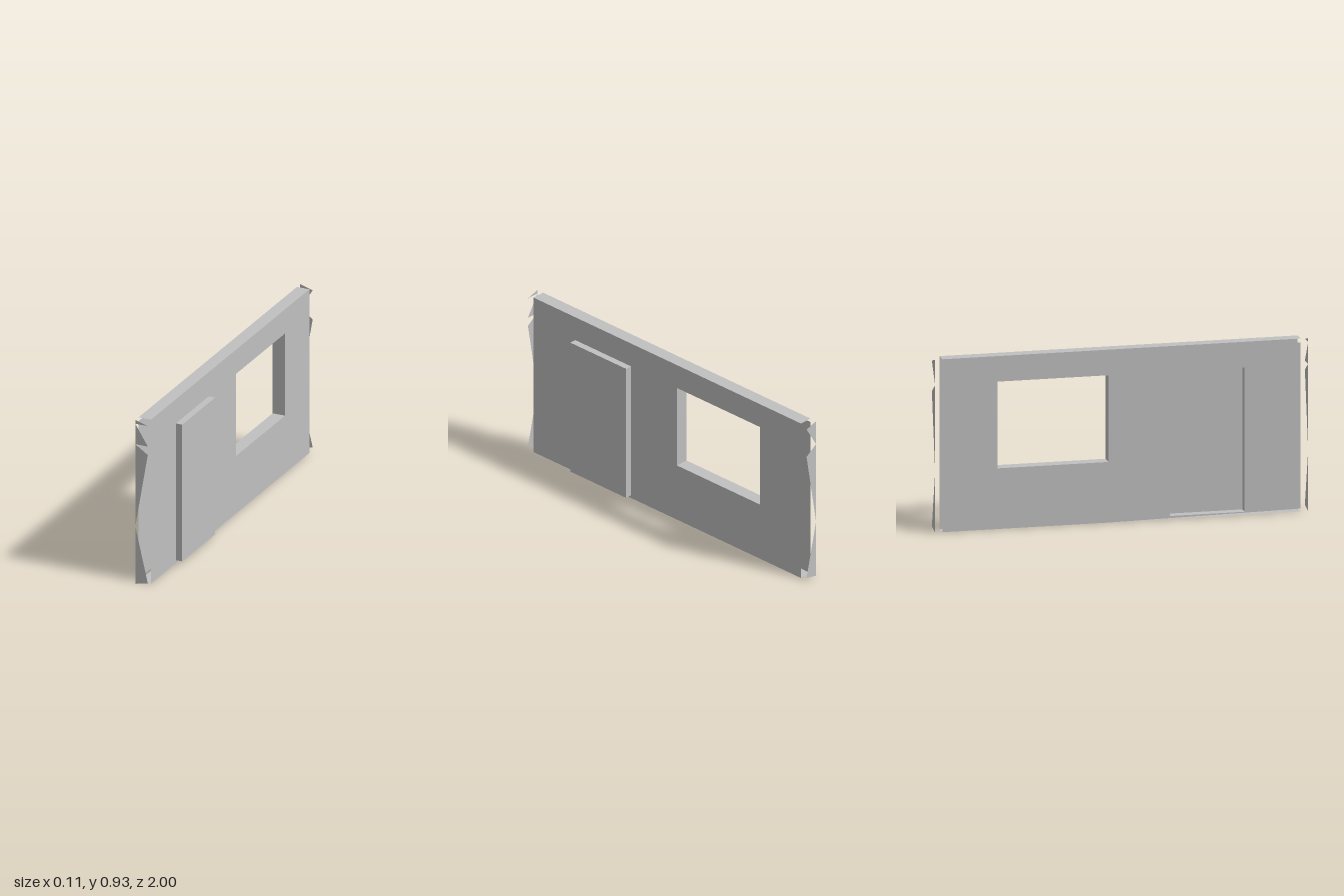
import * as THREE from 'three';

const BACK = -0.055, FRONT = 0.017, TOP = 0.927, END = 0.96;
const WINDOW = { z0: -0.665, z1: -0.07, y0: 0.325, y1: 0.79 };
const DOOR = { z0: 0.26, z1: 0.66, y0: 0.016, y1: 0.79 };
const DOOR_BACK = -0.002, DOOR_FRONT = 0.054;

const plaster = new THREE.MeshStandardMaterial({ color: 0xc0c0c0, side: THREE.DoubleSide });
plaster.name = 'plaster grey';

const corners = (r) => [[r.z0, r.y0], [r.z1, r.y0], [r.z1, r.y1], [r.z0, r.y1]];

export function createModel() {
  const group = new THREE.Group();
  group.name = 'wallPanel';

  const add = (name, geometry) => {
    const mesh = new THREE.Mesh(geometry, plaster);
    mesh.name = name;
    group.add(mesh);
  };

  // Flat sheet at a given x, outlined by [z, y] points; side is +1 or -1 for its facing
  const sheet = (name, x, side, outline, holes = []) => {
    const toPoints = (list) => list.map(([z, y]) => new THREE.Vector2(-side * z, y));
    const shape = new THREE.Shape(toPoints(outline));
    holes.forEach((h) => shape.holes.push(new THREE.Path(toPoints(corners(h)))));
    add(name, new THREE.ShapeGeometry(shape).rotateY(side * Math.PI / 2).translate(x, 0, 0));
  };

  // Four narrow sides round a rectangle, from xa to xb; outward picks the facing
  const rim = (name, r, xa, xb, outward) => {
    const c = corners(r);
    const pos = [];
    c.forEach(([z, y], i) => {
      const [z2, y2] = c[(i + 1) % 4];
      const quad = [[xa, y, z], [xb, y, z], [xb, y2, z2], [xa, y2, z2]];
      const order = outward ? [0, 1, 2, 0, 2, 3] : [0, 2, 1, 0, 3, 2];
      order.forEach((k) => pos.push(...quad[k]));
    });
    const g = new THREE.BufferGeometry();
    g.setAttribute('position', new THREE.Float32BufferAttribute(pos, 3));
    g.computeVertexNormals();
    add(name, g);
  };

  // Front and back skins; the back one stops short of the top and tapers at the foot
  sheet('frontSkin', FRONT, 1, [[-END, 0], [END, 0], [END, TOP], [-END, TOP]], [WINDOW, DOOR]);
  sheet('backSkin', BACK, -1,
    [[-END, 0], [-0.07, 0], [END, 0.0155], [END, 0.906], [-END, 0.906]], [WINDOW, DOOR]);

  // Top and bottom strips
  for (const [name, y, turn] of [['topStrip', TOP, -1], ['bottomStrip', 0, 1]]) {
    add(name, new THREE.PlaneGeometry(FRONT - BACK, 2 * END)
      .rotateX(turn * Math.PI / 2).translate((FRONT + BACK) / 2, y, 0));
  }

  // Window opening
  rim('windowReveal', WINDOW, BACK, FRONT, false);

  // Door: raised on the front, recessed on the back
  sheet('doorFront', DOOR_FRONT, 1, corners(DOOR));
  rim('doorEdge', DOOR, FRONT, DOOR_FRONT, true);
  sheet('doorBack', DOOR_BACK, -1, corners(DOOR));
  rim('doorRecess', DOOR, BACK, DOOR_BACK, false);

  // Loose triangular end pieces standing just off each end
  const shared = [
    [[BACK, 0.79], [FRONT, 0.742], [BACK, 0.325]],
    [[BACK, 0.325], [FRONT, 0.016], [BACK, 0]],
  ];
  const ends = {
    1: [[[BACK, TOP], [FRONT, 0.906], [BACK, 0.906]],
      [[BACK, 0.906], [FRONT, 0.79], [BACK, 0.79]], ...shared],
    '-1': [[[BACK, TOP], [FRONT, 0.906], [BACK, 0.79]], ...shared],
  };
  for (const s of [1, -1]) {
    for (const tri of ends[s]) {
      const shape = new THREE.Shape(tri.map(([x, y]) => new THREE.Vector2(s * x, y)));
      const g = new THREE.ShapeGeometry(shape).translate(0, 0, 1);
      if (s < 0) g.rotateY(Math.PI);
      add(s > 0 ? 'frontEndPiece' : 'rearEndPiece', g);
    }
  }

  return group;
}
